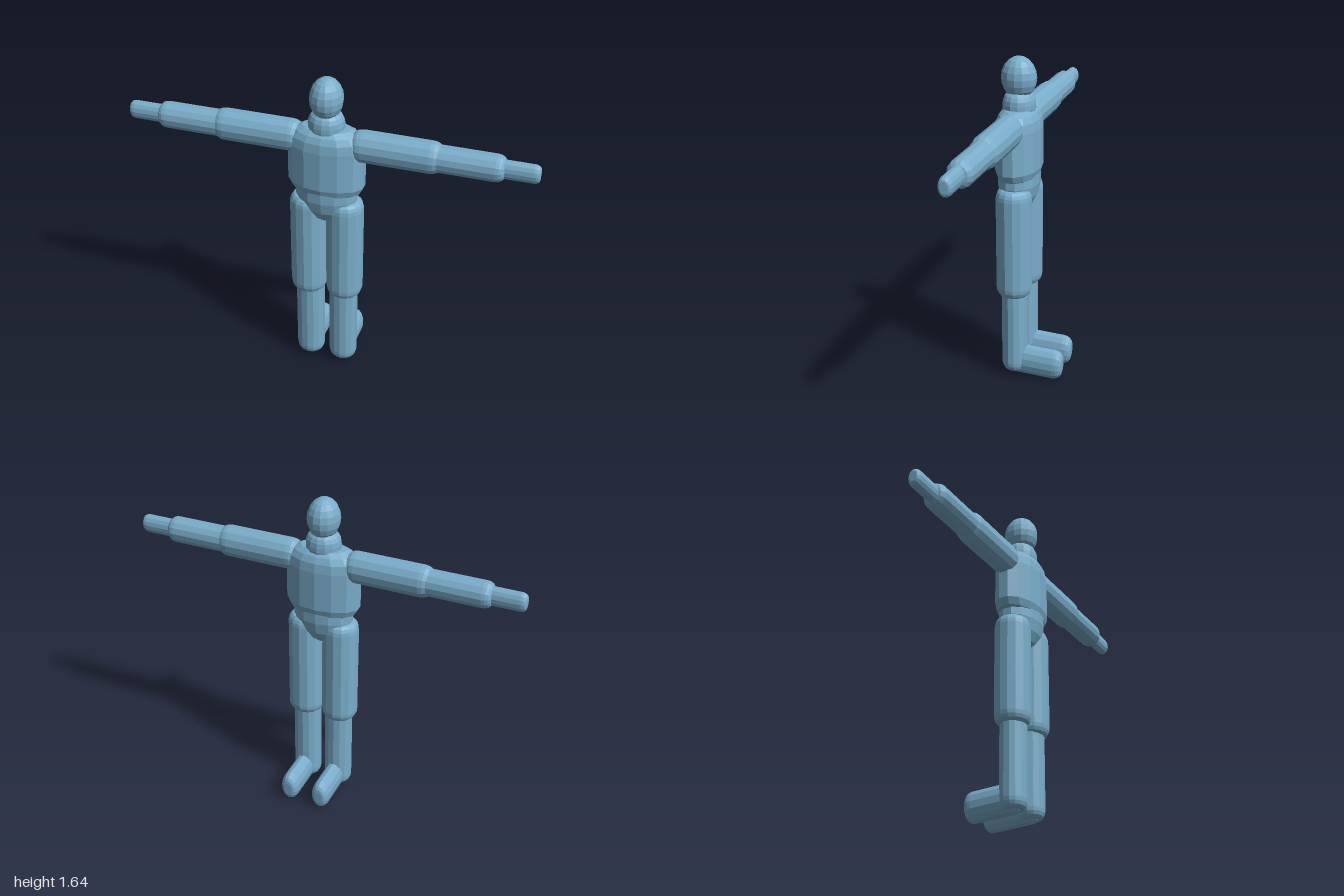
import * as THREE from 'three';

const SIDES = 14;
const BODY_Z = 0.07;

// Rounded-end bar along y: half length h, radii rx / rz, cap height and flat end share (0..1)
function roundedBar(h, rx, rz, cap, flat = 0.55) {
  const pts = [new THREE.Vector2(0, -h)];
  const steps = 4;
  for (let i = 0; i <= steps; i++) {
    const a = (i / steps) * Math.PI / 2;
    pts.push(new THREE.Vector2(flat + (1 - flat) * Math.sin(a), -h + cap * (1 - Math.cos(a))));
  }
  const upper = pts.map((p) => new THREE.Vector2(p.x, -p.y)).reverse();
  const geo = new THREE.LatheGeometry([...pts, ...upper], SIDES);
  geo.scale(rx, 1, rz);
  return geo;
}

export function createModel() {
  const group = new THREE.Group();
  const skin = new THREE.MeshStandardMaterial({ color: 0x7aadcb, flatShading: true });
  skin.name = 'soft blue';

  function add(name, geo, x, y, z = BODY_Z) {
    const mesh = new THREE.Mesh(geo, skin);
    mesh.name = name;
    mesh.position.set(x, y, z);
    group.add(mesh);
    return mesh;
  }

  // Head and neck
  const head = new THREE.SphereGeometry(1, SIDES, 10);
  head.scale(0.08, 0.104, 0.087);
  add('head', head, 0, 1.541);
  add('neck', roundedBar(0.07, 0.088, 0.08, 0.06, 0.5), 0, 1.405);

  // Torso: straight sides, sloping shoulders, tucked waist
  const torso = new THREE.LatheGeometry([
    [0, 1.05], [0.72, 1.05], [0.9, 1.065], [1, 1.1], [1, 1.3],
    [0.95, 1.345], [0.82, 1.375], [0.62, 1.395], [0, 1.4],
  ].map(([r, y]) => new THREE.Vector2(r, y)), SIDES);
  torso.scale(0.19, 1, 0.108);
  add('chest', torso, 0, 0);

  const hips = new THREE.LatheGeometry([
    [0, 0.885], [0.35, 0.89], [0.65, 0.915], [0.88, 0.96], [1, 1.02], [1, 1.08], [0, 1.09],
  ].map(([r, y]) => new THREE.Vector2(r, y)), SIDES);
  hips.scale(0.152, 1, 0.1);
  add('hips', hips, 0, 0);

  for (const [side, s] of [['left', 1], ['right', -1]]) {
    // Arms held straight out
    const arm = [
      ['UpperArm', 0.125, 0.55, 0.081, 0.071, 0.05],
      ['Forearm', 0.46, 0.84, 0.067, 0.062, 0.04],
      ['Hand', 0.78, 0.998, 0.048, 0.034, 0.028],
    ];
    for (const [part, x0, x1, ry, rz, cap] of arm) {
      const geo = roundedBar((x1 - x0) / 2, ry, rz, cap);
      geo.rotateZ(-Math.PI / 2);
      add(side + part, geo, s * (x0 + x1) / 2, 1.321);
    }

    // Legs
    add(side + 'Thigh', roundedBar(0.28, 0.092, 0.089, 0.05, 0.65), s * 0.092, 0.735);
    add(side + 'Shin', roundedBar(0.25, 0.072, 0.065, 0.05), s * 0.087, 0.29);

    // Foot runs back from the ankle and dips slightly
    const foot = roundedBar(0.145, 0.048, 0.08, 0.045, 0.45);
    foot.rotateX(Math.PI / 2 - 0.06);
    add(side + 'Foot', foot, s * 0.086, 0.093, -0.036);
  }
  return group;
}
